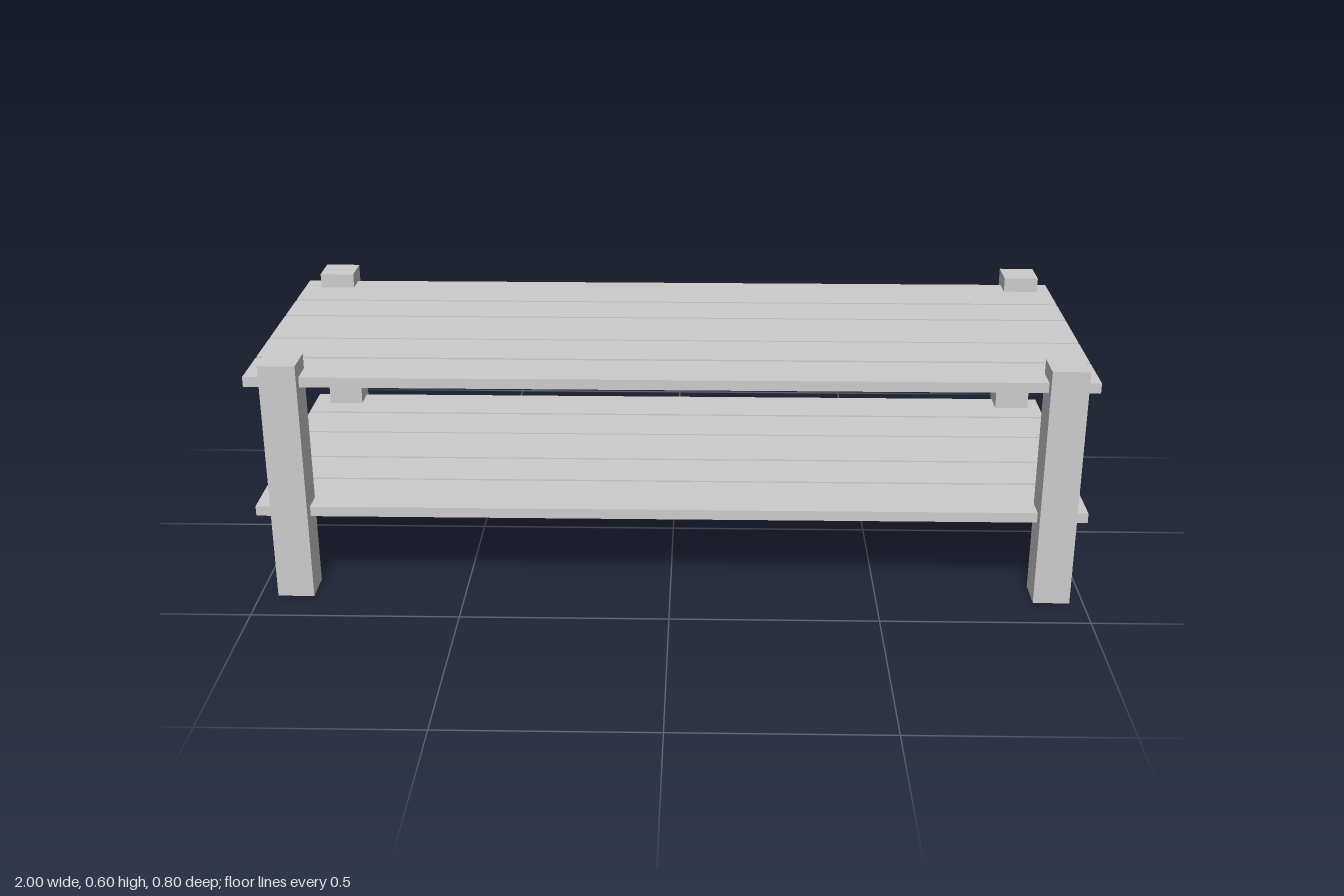
import * as THREE from 'three';

const POST = 0.088, POST_HEIGHT = 0.597, POST_Z = 0.357;
const BOARD = 0.025, RAIL_HEIGHT = 0.045, RAIL_WIDTH = 0.065;
const POST_XS = [-0.912, 0.923];

// Each shelf: underside height of its boards and the front/back edges of every board
const SHELVES = [
  { name: 'upper', y: 0.535, boards: [[0.375, 0.244], [0.234, 0.102], [0.095, -0.071], [-0.079, -0.2], [-0.208, -0.373]] },
  { name: 'lower', y: 0.2, boards: [[0.369, 0.204], [0.196, 0.067], [0.067 - 0.008, -0.1], [-0.107, -0.239], [-0.248, -0.38]] },
];

export function createModel() {
  const group = new THREE.Group();
  const material = new THREE.MeshStandardMaterial({ color: 0xcccccc, flatShading: true });

  const addBox = (name, [w, h, d], [x, y, z]) => {
    const mesh = new THREE.Mesh(new THREE.BoxGeometry(w, h, d), material);
    mesh.name = name;
    mesh.position.set(x, y, z);
    group.add(mesh);
  };

  for (const x of POST_XS) {
    const side = x > 0 ? 'Left' : 'Right';

    // Corner posts
    for (const s of [1, -1]) {
      addBox(`${s > 0 ? 'front' : 'back'}${side}Post`, [POST, POST_HEIGHT, POST], [x, POST_HEIGHT / 2, s * POST_Z]);
    }

    // Cross rails joining front and back posts beneath each shelf
    for (const { name, y } of SHELVES) {
      addBox(`${name}${side}Rail`, [RAIL_WIDTH, RAIL_HEIGHT, 2 * POST_Z - POST], [x, y - RAIL_HEIGHT / 2, 0]);
    }
  }

  // Full-length shelf boards with narrow gaps
  for (const { name, y, boards } of SHELVES) {
    boards.forEach(([front, back], i) => {
      addBox(`${name}Board${i + 1}`, [2, BOARD, front - back], [0, y + BOARD / 2, (front + back) / 2]);
    });
  }

  return group;
}
